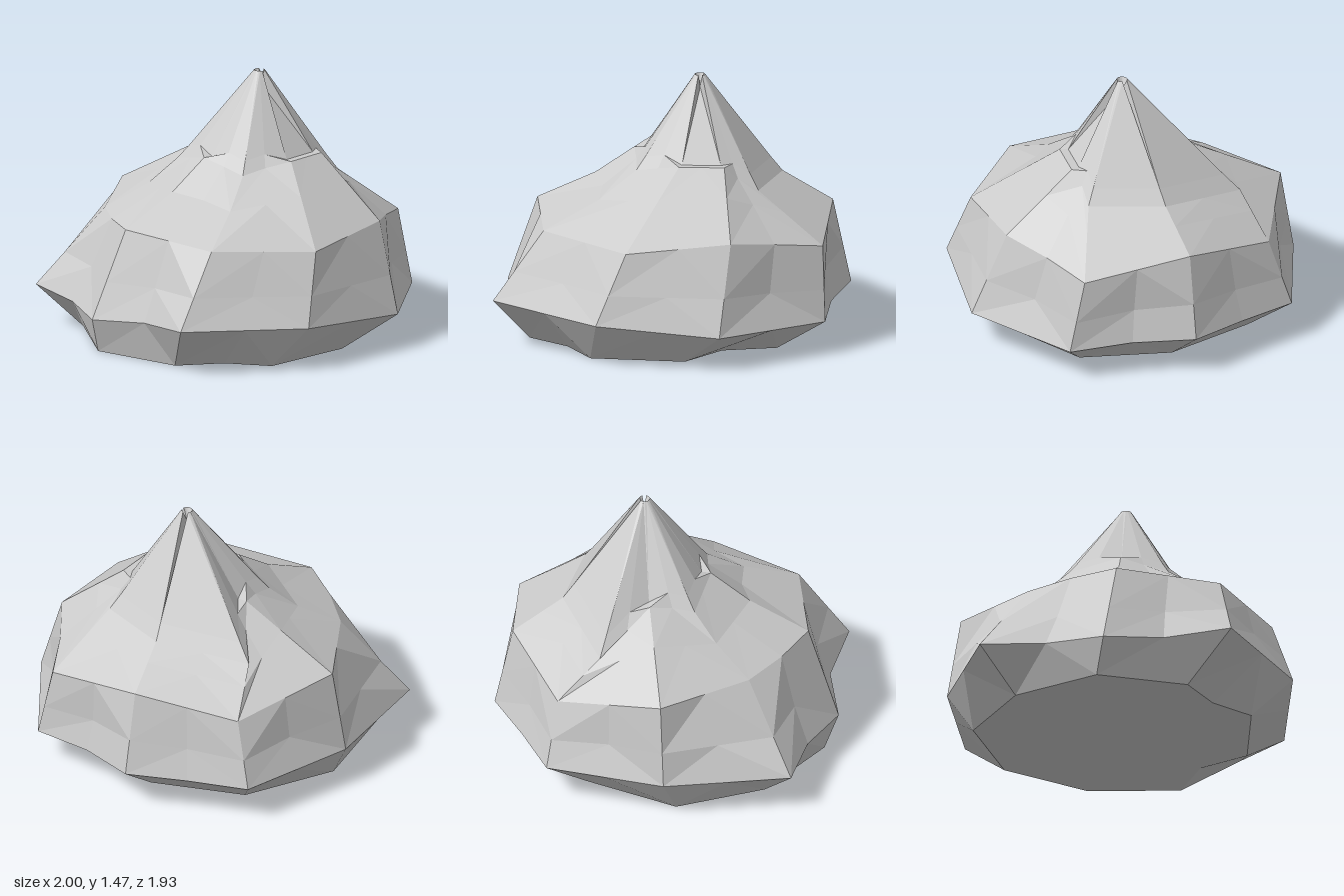
import * as THREE from 'three';

// Main corners of each level, nine per ring, counter-clockwise from the front right: [x, y, z]
const base = [[-0.79, 0, 0.19], [-0.47, 0, 0.62], [0.05, 0, 0.71], [0.57, 0, 0.45], [0.69, 0, -0.05],
  [0.52, 0, -0.56], [0.05, 0, -0.84], [-0.45, 0, -0.71], [-0.81, 0, -0.33]];
const rim = [[-1, 0.27, 0.39], [-0.45, 0.25, 0.86], [0.23, 0.2, 0.96], [0.83, 0.19, 0.6], [1, 0.23, -0.08],
  [0.76, 0.22, -0.73], [0.13, 0.23, -0.97], [-0.58, 0.23, -0.94], [-0.89, 0.2, -0.31]];
const shoulder = [[-0.72, 0.67, 0.39], [-0.28, 0.64, 0.78], [0.3, 0.69, 0.78], [0.82, 0.6, 0.51], [0.9, 0.7, -0.08],
  [0.69, 0.59, -0.62], [0.14, 0.7, -0.89], [-0.37, 0.68, -0.62], [-0.73, 0.7, -0.2]];
const ledge = [[-0.2, 0.96, 0.21], [0.03, 1.02, 0.37], [0.28, 1.02, 0.39], [0.47, 0.88, 0.36], [0.62, 0.88, -0.04],
  [0.45, 0.81, -0.54], [0.16, 1, -0.34], [-0.09, 0.95, -0.33], [-0.2, 1.02, -0.06]];
const peak = [0.16, 1.465, 0.05];

const mix = (a, b, t) => a.map((v, k) => v + (b[k] - v) * t);

// Adds a column halfway along every edge, pushed in or out by that edge's factor
function split(ring, factors) {
  return ring.flatMap((p, i) => {
    const m = mix(p, ring[(i + 1) % ring.length], 0.5);
    const f = factors[i];
    return [p, [m[0] * f, m[1], m[2] * f]];
  });
}

// Flat-shaded skin over stacked rings, closed at both ends
function loft(rings, bottom, top) {
  const pos = [];
  const tri = (...pts) => pts.forEach(p => pos.push(...p));
  const n = rings[0].length;
  for (let i = 0; i < n; i++) {
    const k = (i + 1) % n;
    tri(bottom, rings[0][k], rings[0][i]);
    for (let j = 0; j < rings.length - 1; j++) {
      const a = rings[j][i], b = rings[j][k], c = rings[j + 1][k], d = rings[j + 1][i];
      // Diagonals mirror about the dented columns so the dents read as valleys
      if (i % 2) { tri(a, b, d); tri(b, c, d); } else { tri(a, b, c); tri(a, c, d); }
    }
    tri(rings[rings.length - 1][i], rings[rings.length - 1][k], top);
  }
  const geo = new THREE.BufferGeometry();
  geo.setAttribute('position', new THREE.Float32BufferAttribute(pos, 3));
  geo.computeVertexNormals();
  return geo;
}

export function createModel() {
  const group = new THREE.Group();
  group.name = 'rock';
  const material = new THREE.MeshStandardMaterial({ color: 0xcccccc, flatShading: true, side: THREE.DoubleSide });

  // Dented band between the rim and the shoulder
  const waist = rim.map((p, i) => mix(p, shoulder[i], 0.42));
  const baseRing = split(base, [0.93, 1, 0.85, 1, 1, 1, 1, 1, 1]);
  const rimRing = split(rim, [1, 1, 1, 0.96, 0.99, 1, 1, 0.95, 0.92]);
  const waistRing = split(waist, [0.99, 1, 0.96, 0.95, 0.98, 0.97, 1, 0.96, 0.94]);
  const shoulderRing = split(shoulder, [1, 1, 0.98, 1, 1, 1, 1, 1.03, 1]);

  // Slope up to the ledges, sagging on the right-hand side
  const slope = shoulder.map((p, i) => {
    const q = mix(p, ledge[i], 0.6);
    return [q[0], q[1] - (i === 0 || i > 6 ? 0.03 : 0), q[2]];
  });
  const slopeRing = split(slope, [1, 1, 0.97, 1, 1, 0.98, 1, 1, 0.93]);
  const ledgeRing = split(ledge, [0.95, 1, 0.95, 1, 1, 0.95, 0.95, 1, 0.97]);

  // Foot of the peak: steps inward behind the flat ledges, otherwise follows the slope
  const flats = [2, 3, 4, 12, 16];
  const footRing = ledgeRing.map((p, i) => {
    const q = mix(p, peak, 0.14);
    return flats.includes(i) ? [q[0], p[1], q[2]] : q;
  });

  // Peak: a tiny crown around a sunken tip, notched where the clefts run down
  const clefts = [3, 8];
  const crown = ledgeRing.map((p, i) => {
    const a = Math.atan2(p[2] - peak[2], p[0] - peak[0]);
    const cleft = clefts.includes(i);
    const r = cleft ? 0.008 : 0.03;
    return [peak[0] + r * Math.cos(a), cleft ? 1.39 : peak[1], peak[2] + r * Math.sin(a)];
  });

  const body = new THREE.Mesh(
    loft([baseRing, rimRing, waistRing, shoulderRing, slopeRing, ledgeRing, footRing, crown],
      [0, 0, 0], [0.16, 1.4, 0.05]), material);
  body.name = 'rockBody';
  group.add(body);
  return group;
}
